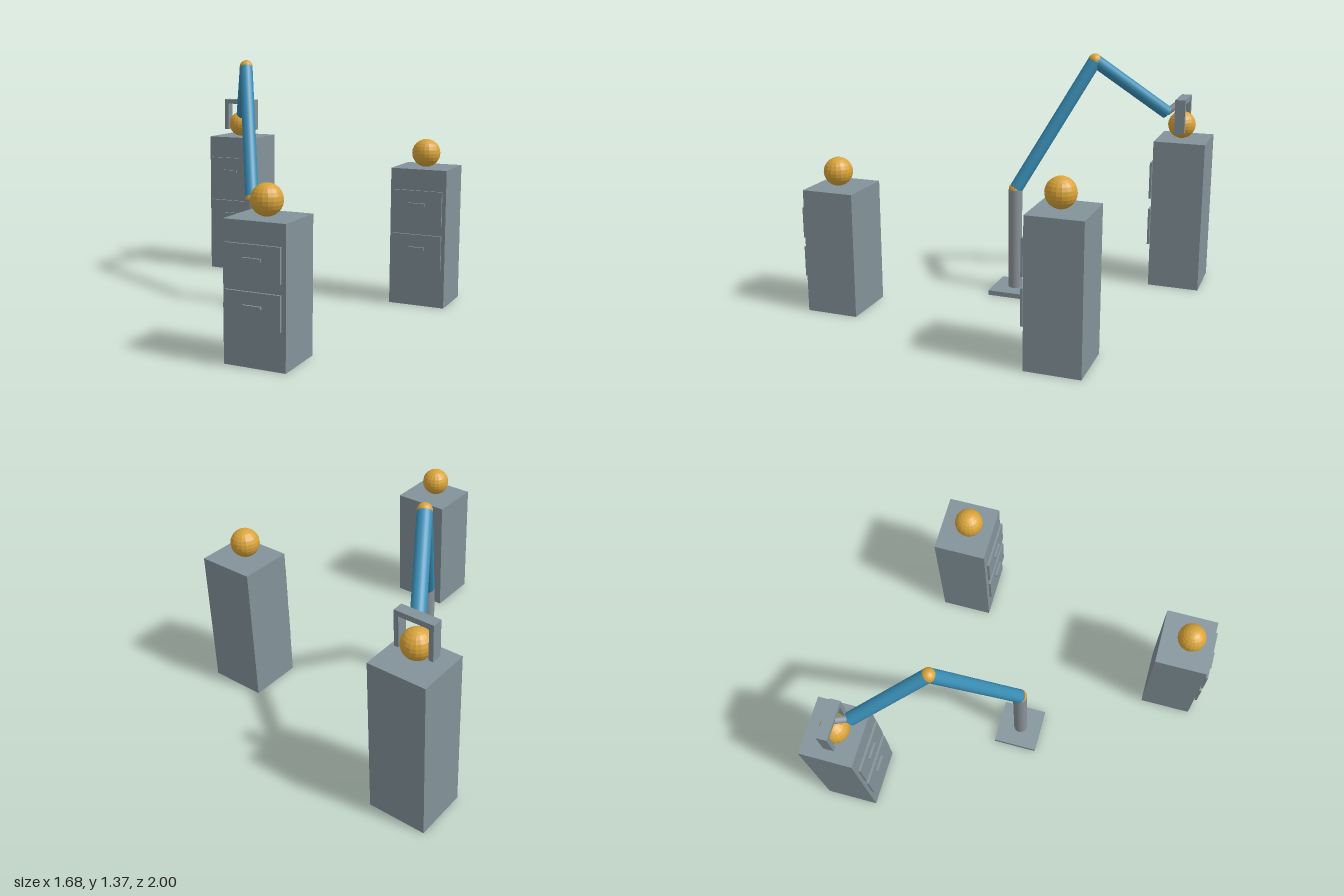
import * as THREE from 'three';

export function createModel() {
  const model = new THREE.Group();
  const mat = (name, color, flatShading = false) => {
    const m = new THREE.MeshStandardMaterial({ color, flatShading });
    m.name = name;
    return m;
  };
  const cabinetGrey = mat('cabinetGrey', 0x83939a);
  const columnGrey = mat('columnGrey', 0x8b9399);
  const armBlue = mat('armBlue', 0x3a8fb7);
  const ballAmber = mat('ballAmber', 0xd9a43a, true);

  const add = (parent, name, geometry, material, x, y, z) => {
    const mesh = new THREE.Mesh(geometry, material);
    mesh.name = name;
    mesh.position.set(x, y, z);
    parent.add(mesh);
    return mesh;
  };
  const box = (parent, name, w, h, d, x, y, z) =>
    add(parent, name, new THREE.BoxGeometry(w, h, d), cabinetGrey, x, y, z);
  const ball = (parent, name, r, x, y, z) =>
    add(parent, name, new THREE.SphereGeometry(r, 18, 12), ballAmber, x, y, z);

  // Cylinder running between two points
  const rod = (parent, name, a, b, r, material) => {
    const dir = b.clone().sub(a);
    const mid = a.clone().add(b).multiplyScalar(0.5);
    const mesh = add(parent, name, new THREE.CylinderGeometry(r, r, dir.length(), 24), material, mid.x, mid.y, mid.z);
    mesh.quaternion.setFromUnitVectors(new THREE.Vector3(0, 1, 0), dir.normalize());
  };

  // Pedestal cabinets, each with two drawers and a ball on top
  const depth = 0.292;
  const cabinet = (name, x, z, h) => {
    const g = new THREE.Group();
    g.name = name;
    g.position.set(x, 0, z);
    model.add(g);
    box(g, 'cabinetBody', 0.32, h, depth, 0, h / 2, 0);
    for (const level of [0.405, 0.725]) {
      box(g, 'drawerFront', 0.284, h * 0.247, 0.012, 0, h * level, depth / 2 + 0.014);
      box(g, 'drawerHandle', 0.094, 0.014, 0.012, 0, h * (level + 0.025), depth / 2 + 0.026);
    }
    ball(g, 'ball', 0.079, 0, h + 0.079, 0.016);
  };
  cabinet('tallCabinet', -0.68, -0.854, 0.868);
  cabinet('middleCabinet', 0.68, -0.541, 0.778);
  cabinet('shortCabinet', 0.363, 0.822, 0.688);

  // Robot arm: base, column, two links and their joints
  const arm = new THREE.Group();
  arm.name = 'robotArm';
  model.add(arm);
  const shoulder = new THREE.Vector3(-0.16, 0.61, 0);
  const elbow = new THREE.Vector3(-0.4, 1.332, -0.385);
  const wrist = new THREE.Vector3(-0.628, 1.022, -0.757);
  box(arm, 'basePlate', 0.248, 0.027, 0.248, -0.16, 0.0135, -0.003);
  rod(arm, 'column', new THREE.Vector3(-0.16, 0.027, 0), shoulder, 0.039, columnGrey);
  rod(arm, 'upperArm', shoulder, elbow, 0.038, armBlue);
  rod(arm, 'forearm', elbow, wrist, 0.038, armBlue);
  ball(arm, 'shoulderJoint', 0.039, ...shoulder.toArray());
  ball(arm, 'elbowJoint', 0.039, ...elbow.toArray());

  // Gripper held over the tall cabinet's ball
  const gripper = new THREE.Group();
  gripper.name = 'gripper';
  arm.add(gripper);
  rod(gripper, 'wristRod', wrist, new THREE.Vector3(-0.672, 1.076, -0.824), 0.02, columnGrey);
  box(gripper, 'gripperBar', 0.214, 0.028, 0.058, -0.682, 1.091, -0.841);
  for (const side of [-1, 1]) {
    box(gripper, 'gripperFinger', 0.025, 0.167, 0.058, -0.682 + side * 0.0945, 0.9935, -0.841);
  }
  return model;
}
